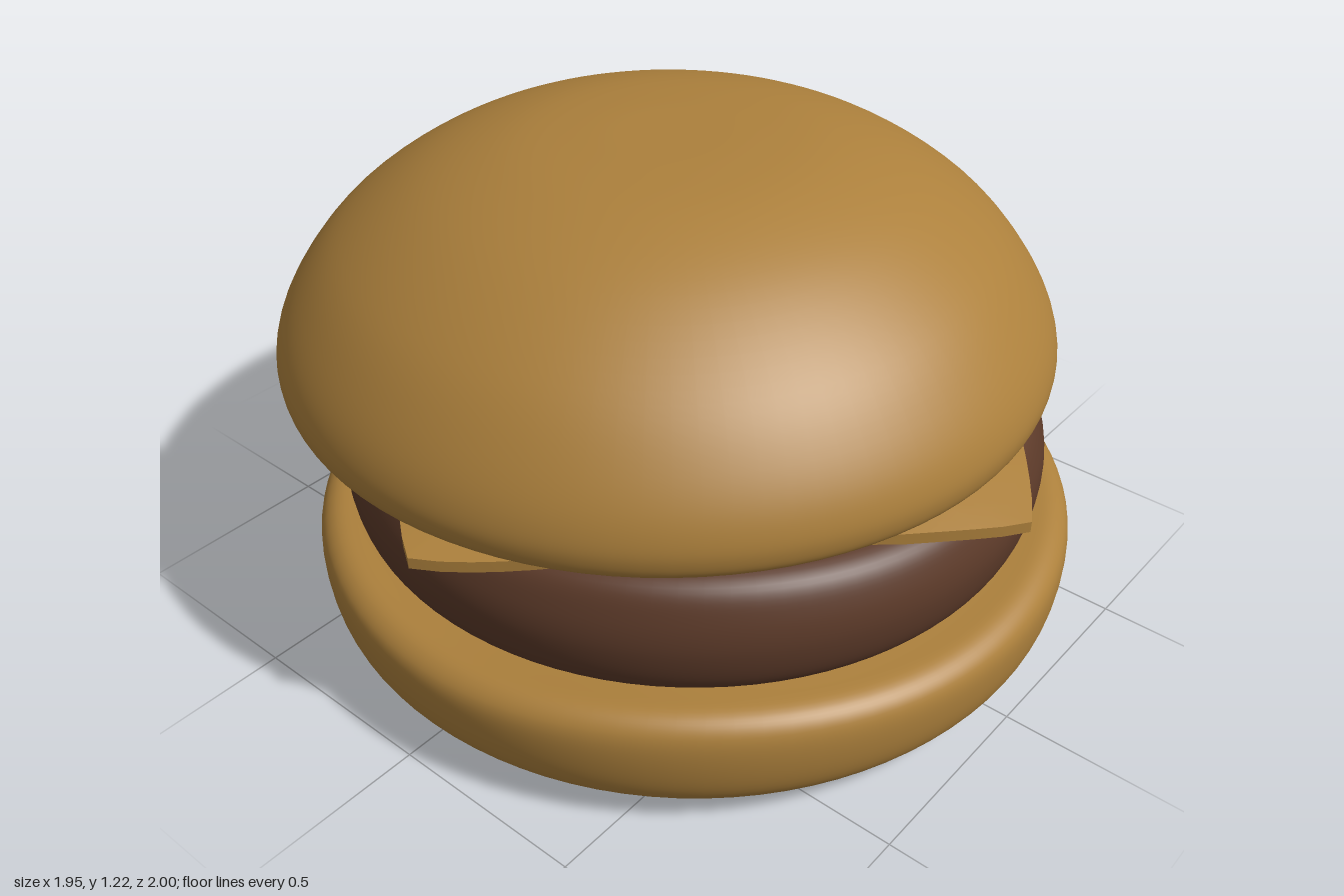
import * as THREE from 'three';
import { mergeVertices, toCreasedNormals } from 'three/addons/utils/BufferGeometryUtils.js';

// Turns a smooth [radius, height] profile, listed from the bottom up, into a round solid
function turned(profile, steps, rule) {
  const curve = new THREE.CatmullRomCurve3(
    profile.map(([r, y]) => new THREE.Vector3(r, y, 0)), false, 'centripetal');
  const points = curve.getPoints(steps).map((p) => new THREE.Vector2(Math.max(p.x, 0), p.y));
  points[0].x = points[points.length - 1].x = 0;
  return shaped(points, rule);
}

// Lathes the points, then moves each vertex by the rule
function shaped(points, rule) {
  let geometry = new THREE.LatheGeometry(points, 96);
  geometry.deleteAttribute('uv');
  geometry.deleteAttribute('normal');
  geometry = mergeVertices(geometry, 1e-5);
  const pos = geometry.attributes.position;
  const v = new THREE.Vector3();
  if (rule) {
    for (let i = 0; i < pos.count; i++) {
      rule(v.fromBufferAttribute(pos, i));
      pos.setXYZ(i, v.x, v.y, v.z);
    }
  }
  geometry.computeVertexNormals();
  return geometry;
}

// Gentle unevenness of a baked or grilled rim, strongest near the top
const wavy = (low, high, amount) => (v) => {
  const a = Math.atan2(v.z, v.x);
  const r = Math.hypot(v.x, v.z);
  const t = THREE.MathUtils.smoothstep(v.y, low, high) * THREE.MathUtils.smoothstep(r, 0.3, 0.9);
  v.y += t * amount * (Math.sin(3 * a + 0.6) + 0.6 * Math.sin(5 * a + 2));
};

// Slice outline: a rounded square standing on its corner, with one small flap
function drape(v) {
  const a = Math.atan2(v.z, v.x);
  const c = Math.abs(Math.cos(a)), s = Math.abs(Math.sin(a));
  const p = 1.14;
  const outline = 1 / Math.pow(Math.pow(c, p) + Math.pow(s, p), 1 / p);
  const flap = 0.1 * Math.exp(-Math.pow((a + 0.62) / 0.13, 2));
  const r = Math.hypot(v.x, v.z);
  const scale = outline + flap * r * r;
  v.x *= scale * 0.975;
  v.z *= scale * 0.94;
  // Corners hang over the patty, lowest at the front
  const reach = THREE.MathUtils.smoothstep(Math.hypot(v.x, v.z), 0.68, 1.0);
  const front = Math.max(0, Math.sin(a));
  v.y -= reach * (0.035 + 0.025 * front) + 0.005 * r * Math.sin(7 * a);
}

export function createModel() {
  const model = new THREE.Group();
  const bread = new THREE.MeshStandardMaterial({ color: 0xac803c });
  bread.name = 'toasted bread';
  const meat = new THREE.MeshStandardMaterial({ color: 0x5c3a29 });
  meat.name = 'grilled meat';

  const add = (name, geometry, material, x, z) => {
    const mesh = new THREE.Mesh(geometry, material);
    mesh.name = name;
    mesh.position.set(x, 0, z);
    model.add(mesh);
  };

  // Flat lower bun with a rounded rim
  add('bottomBun', turned([
    [0, 0.005], [0.4, 0.005], [0.74, 0.012], [0.88, 0.04], [0.94, 0.10], [0.963, 0.20],
    [0.955, 0.275], [0.92, 0.307], [0.84, 0.312], [0.5, 0.31], [0, 0.31],
  ], 60, wavy(0.2, 0.31, 0.008)), bread, -0.015, 0.04);

  // Bulging patty
  add('patty', turned([
    [0, 0.29], [0.5, 0.29], [0.8, 0.295], [0.855, 0.34], [0.88, 0.44],
    [0.868, 0.52], [0.83, 0.585], [0.74, 0.606], [0.4, 0.608], [0, 0.608],
  ], 60, wavy(0.45, 0.6, 0.005)), meat, -0.01, 0.035);

  // Thin cheese slice
  const radii = [0, 0.2, 0.4, 0.55, 0.65, 0.72, 0.79, 0.86, 0.93, 1];
  const slice = [
    ...radii.map((r) => new THREE.Vector2(r, 0.612)),
    ...radii.slice().reverse().map((r) => new THREE.Vector2(r, 0.64)),
  ];
  add('cheeseSlice', toCreasedNormals(shaped(slice, drape), 0.7), bread, 0, 0.05);

  // Domed upper bun with a flat underside
  add('topBun', turned([
    [0, 0.655], [0.5, 0.655], [0.86, 0.655], [0.935, 0.67], [0.953, 0.72], [0.94, 0.79],
    [0.885, 0.89], [0.785, 1.005], [0.6, 1.13], [0.4, 1.2], [0.2, 1.223], [0, 1.225],
  ], 70), bread, -0.017, -0.047);

  return model;
}
